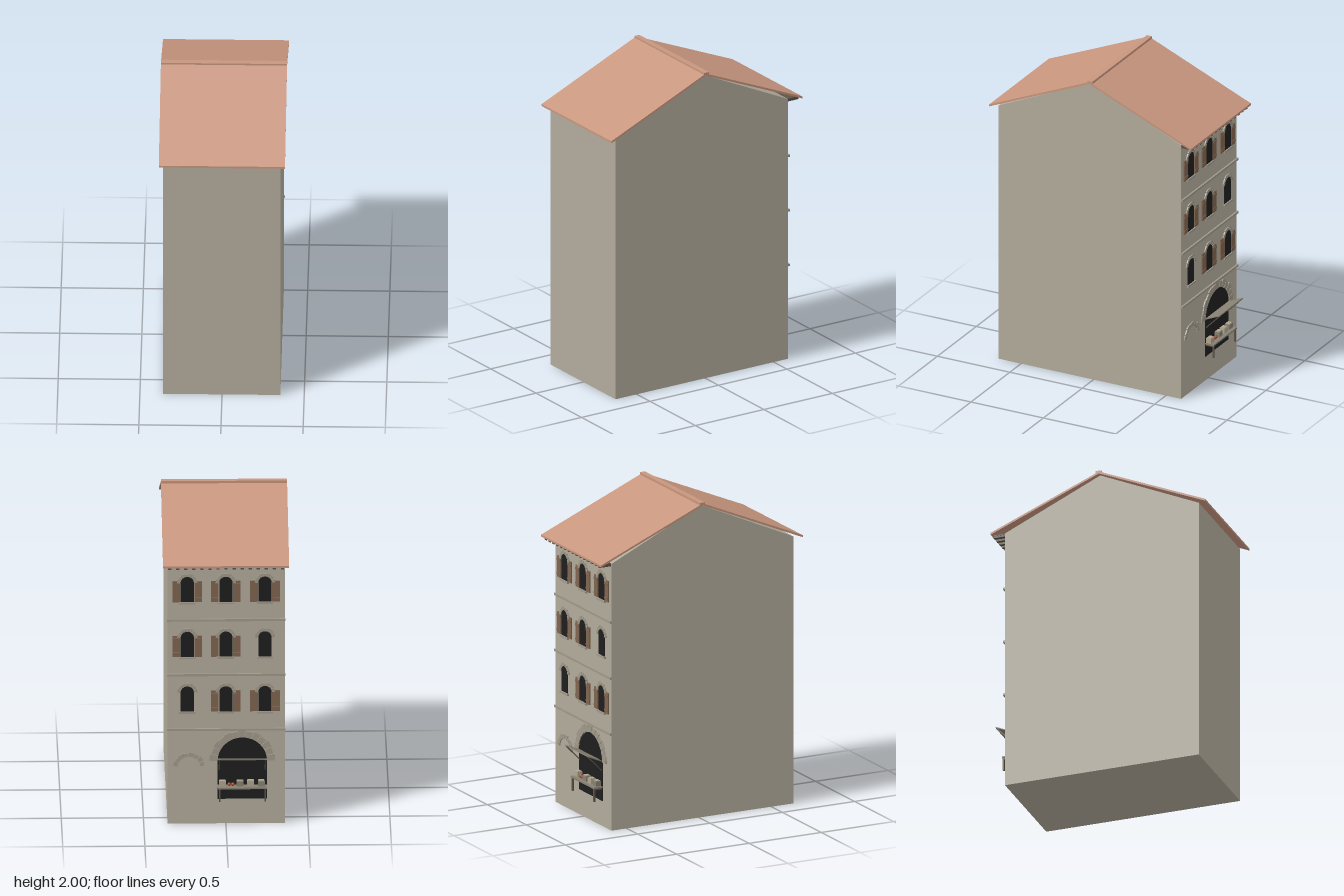
import * as THREE from 'three';

const mat = (name, color) => Object.assign(new THREE.MeshStandardMaterial({ color }), { name });
const M = {
  plaster: mat('plaster', 0xb2ab9c),
  stone: mat('stone', 0xa0998a),
  tile: mat('roofTile', 0xc8967e),
  dark: mat('darkOpening', 0x1e1e1e),
  shutter: mat('shutterWood', 0x80654f),
  rafter: mat('rafterWood', 0x5f5347),
  plank: mat('greyPlank', 0x878173),
  straw: mat('straw', 0xb0a58f),
  red: mat('redGoods', 0xa8452f),
};
const WALL = -0.605; // z of the decorated wall, which faces -z

function add(parent, name, geo, material, x = 0, y = 0, z = 0) {
  const m = new THREE.Mesh(geo, material);
  m.name = name;
  m.position.set(x, y, z);
  parent.add(m);
  return m;
}
const box = (p, name, m, w, h, d, x, y, z) => add(p, name, new THREE.BoxGeometry(w, h, d), m, x, y, z);
const extrude = (shape, depth, curveSegments = 8) =>
  new THREE.ExtrudeGeometry(shape, { depth, bevelEnabled: false, curveSegments });

// Beam between two points in the y-z plane
function slab(p, name, m, width, thick, [z0, y0], [z1, y1], x = 0) {
  const b = box(p, name, m, width, thick, Math.hypot(z1 - z0, y1 - y0), x, (y0 + y1) / 2, (z0 + z1) / 2);
  b.rotation.x = -Math.atan2(y1 - y0, z1 - z0);
  return b;
}

// Round-headed dark opening
function opening(p, name, x, bottom, spring, r) {
  const s = new THREE.Shape();
  s.moveTo(-r, bottom);
  s.lineTo(r, bottom);
  s.lineTo(r, spring);
  s.absarc(0, spring, r, 0, Math.PI, false);
  add(p, name, extrude(s, 0.004, 12), M.dark, x, 0, WALL - 0.004);
}

// Half ring of separate wedge stones with uneven outer ends
function stoneArch(p, name, x, y, inner, outer, count, from = 0, to = Math.PI) {
  const g = new THREE.Group();
  g.name = name;
  g.position.set(x, y, WALL - 0.008);
  const step = (to - from) / count;
  for (let i = 0; i < count; i++) {
    const a = from + i * step + step * 0.04, b = from + (i + 1) * step - step * 0.04;
    const r = outer - (i % 2) * (outer - inner) * 0.15;
    const s = new THREE.Shape();
    s.absarc(0, 0, r, a, b, false);
    s.absarc(0, 0, inner, b, a, true);
    add(g, 'archStone', extrude(s, 0.008, 3), M.stone);
  }
  p.add(g);
}

function makeWindow(x, y, shutters) {
  const g = new THREE.Group();
  g.name = 'window';
  opening(g, 'windowOpening', x, y + 0.012, y + 0.135, 0.04);
  stoneArch(g, 'windowArch', x, y + 0.135, 0.041, 0.062, 7);
  box(g, 'windowSill', M.stone, 0.1, 0.012, 0.012, x, y + 0.006, WALL - 0.006);
  if (shutters) for (const side of [-1, 1]) {
    const sx = x + side * 0.067;
    box(g, 'shutter', M.shutter, 0.046, 0.135, 0.007, sx, y + 0.08, WALL - 0.0035);
    for (const dy of [0.035, 0.125])
      box(g, 'shutterRail', M.shutter, 0.046, 0.012, 0.003, sx, y + dy, WALL - 0.0085);
  }
  return g;
}

function makeStall() {
  const g = new THREE.Group();
  g.name = 'shopStall';
  const cx = -0.1;
  opening(g, 'shopOpening', cx, 0.16, 0.405, 0.15);
  stoneArch(g, 'shopArch', cx, 0.405, 0.153, 0.2, 13);
  // Propped-up flap with its two struts
  slab(g, 'awningFlap', M.plank, 0.3, 0.006, [-0.708, 0.454], [WALL, 0.41], cx);
  for (const x of [-0.24, 0.04])
    slab(g, 'awningStrut', M.rafter, 0.008, 0.006, [-0.704, 0.449], [WALL, 0.348], x);
  // Counter on legs
  box(g, 'counterTop', M.plank, 0.3, 0.01, 0.062, cx, 0.247, WALL - 0.031);
  for (const x of [-0.238, 0.038]) {
    box(g, 'counterLeg', M.rafter, 0.01, 0.082, 0.01, x, 0.201, -0.659);
    box(g, 'counterBracket', M.rafter, 0.01, 0.01, 0.055, x, 0.237, -0.633);
  }
  // Goods on the counter
  [0.022, -0.085, -0.15, -0.215].forEach((x, i) => {
    box(g, 'crate', i % 2 ? M.plank : M.straw, 0.042, 0.032, 0.034, x, 0.268, -0.628);
    box(g, 'crateFilling', M.straw, 0.034, 0.004, 0.026, x, 0.286, -0.628);
  });
  for (const x of [-0.02, -0.042])
    add(g, 'redGoods', new THREE.SphereGeometry(0.011, 10, 8), M.red, x, 0.263, -0.632);
  return g;
}

function makeRoof() {
  const g = new THREE.Group();
  g.name = 'roof';
  const W = 0.768;
  // Two tiled slopes drawn as one bent slab
  const s = new THREE.Shape();
  [[-0.705, 1.698], [-0.015, 1.994], [0.69, 1.698], [0.69, 1.685], [-0.015, 1.981], [-0.705, 1.685]]
    .forEach(([u, y], i) => (i ? s.lineTo(u, y) : s.moveTo(u, y)));
  add(g, 'roofSlopes', extrude(s, W), M.tile, -W / 2).rotation.y = Math.PI / 2;
  box(g, 'ridgeCap', M.tile, W, 0.016, 0.035, 0, 1.992, 0.01);
  // Rafter ends carrying the eaves over the decorated wall
  box(g, 'eavesBoard', M.rafter, 0.71, 0.006, 0.078, 0, 1.689, -0.644);
  for (let i = 0; i < 15; i++)
    box(g, 'rafterEnd', M.rafter, 0.02, 0.014, 0.078, -0.343 + i * 0.049, 1.68, -0.644);
  return g;
}

export function createModel() {
  const model = new THREE.Group();
  model.name = 'townHouse';

  // Gabled body, profile in (-z, y) extruded along x
  const s = new THREE.Shape();
  [[-0.655, 0], [0.605, 0], [0.605, 1.69], [-0.015, 1.978], [-0.655, 1.69]]
    .forEach(([u, y], i) => (i ? s.lineTo(u, y) : s.moveTo(u, y)));
  add(model, 'walls', extrude(s, 0.715), M.plaster, -0.36).rotation.y = Math.PI / 2;

  model.add(makeRoof());

  // Three upper floors with a string course below each
  for (let floor = 0; floor < 3; floor++) {
    const y = 0.61 + floor * 0.355;
    box(model, 'stringCourse', M.stone, 0.722, 0.014, 0.013, -0.0025, y, WALL - 0.005);
    [0.235, 0, -0.238].forEach((x, col) => {
      const bare = (floor === 0 && col === 0) || (floor === 1 && col === 2);
      model.add(makeWindow(x, y + 0.105, !bare));
    });
  }

  // Ground floor: blind arch and shop
  stoneArch(model, 'blindArch', 0.225, 0.365, 0.07, 0.097, 8, 0.1, Math.PI - 0.1);
  model.add(makeStall());
  return model;
}
